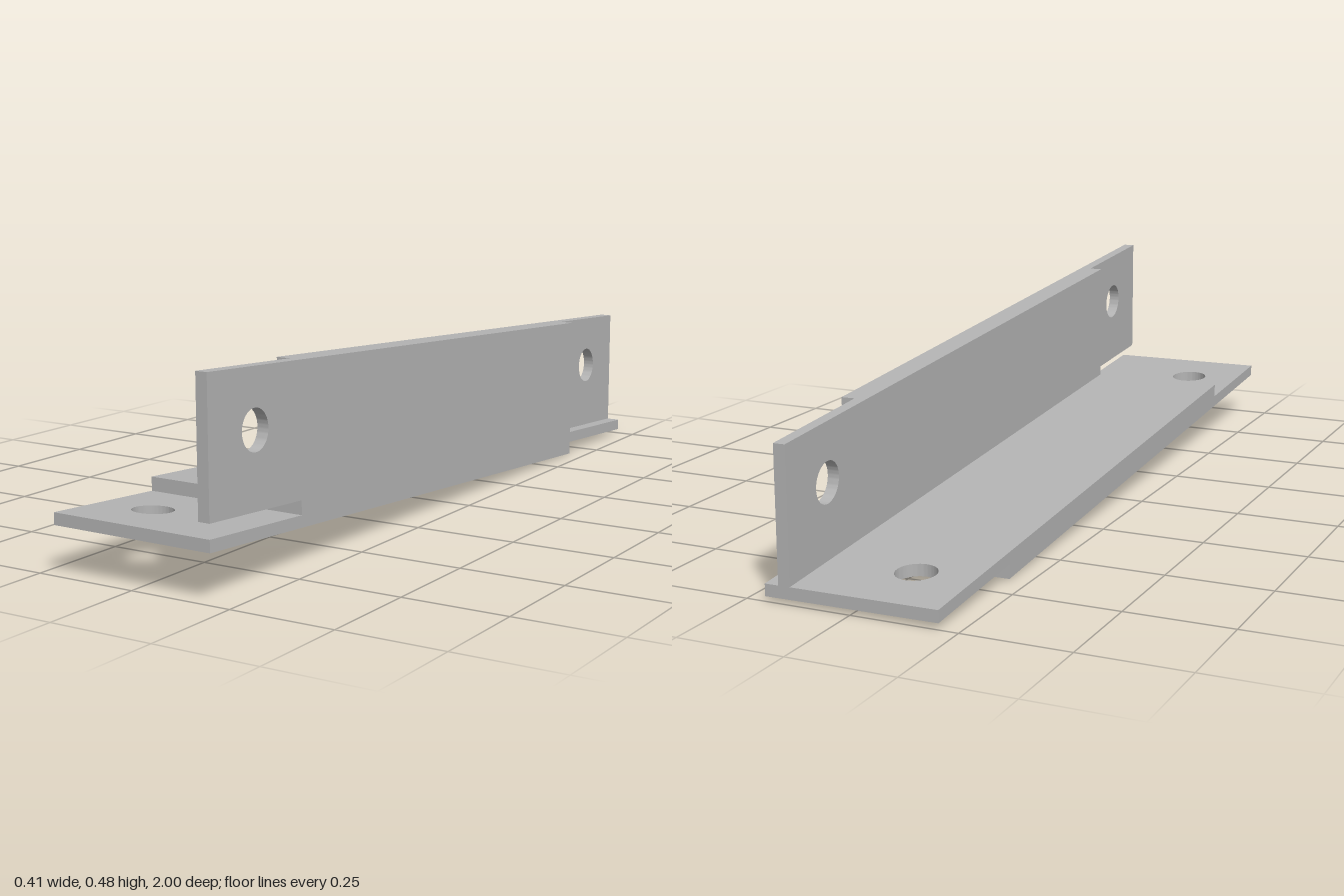
import * as THREE from 'three';
import { toCreasedNormals } from 'three/addons/utils/BufferGeometryUtils.js';

const X0 = -0.205, X1 = 0.204;           // outer width
const WALL = 0.143;                      // inner face of the upright flange
const Y0 = 0.048, FLOOR = 0.109, TOP = 0.416;
const STEP = 0.67, END = 1;              // where the tabs begin and end along z
const TAB = 0.028;                       // tab thickness
const HOLE_R = 0.047, HOLE_Z = 0.838;

// the whole bar slopes down to the back, with a very slight lean sideways
const slope = new THREE.Matrix4().set(
  1, 0, 0, 0,
  -0.007, 1, 0.0655, 0,
  0, 0, 1, 0,
  0, 0, 0, 1
);

export function createModel() {
  const group = new THREE.Group();
  const steel = new THREE.MeshStandardMaterial({ color: 0xb4b4b4 });
  steel.name = 'grey steel';

  function add(name, geometry) {
    geometry.applyMatrix4(slope);
    const mesh = new THREE.Mesh(toCreasedNormals(geometry, 0.6), steel);
    mesh.name = name;
    group.add(mesh);
  }

  // rectangle with one bolt hole, extruded by the tab thickness
  function drilledPlate(a0, a1, b0, b1, ha, hb) {
    const s = new THREE.Shape([[a0, b0], [a1, b0], [a1, b1], [a0, b1]].map(p => new THREE.Vector2(...p)));
    const hole = new THREE.Path();
    hole.absarc(ha, hb, HOLE_R, 0, Math.PI * 2, true);
    s.holes.push(hole);
    return new THREE.ExtrudeGeometry(s, { depth: TAB, bevelEnabled: false, curveSegments: 32 });
  }

  // flat tab: shape drawn in x and -z, extruded upwards from y
  function flatTab(name, y, side) {
    const z = [-side * STEP, -side * END].sort((a, b) => a - b);
    const g = drilledPlate(X0, X1, z[0], z[1], -0.068, -side * HOLE_Z);
    add(name, g.rotateX(-Math.PI / 2).translate(0, y, 0));
  }

  // upright tab: shape drawn in -z and y, extruded sideways from x
  function uprightTab(name, x, side) {
    const z = [-side * STEP, -side * END].sort((a, b) => a - b);
    const g = drilledPlate(z[0], z[1], FLOOR, TOP, -side * HOLE_Z, 0.282);
    add(name, g.rotateY(Math.PI / 2).translate(x, 0, 0));
  }

  // thick L-shaped middle section
  const section = new THREE.Shape([
    [X0, Y0], [X1, Y0], [X1, TOP], [WALL, TOP], [WALL, FLOOR], [X0, FLOOR],
  ].map(p => new THREE.Vector2(...p)));
  add('angleBar', new THREE.ExtrudeGeometry(section, { depth: 2 * STEP, bevelEnabled: false })
    .translate(0, 0, -STEP));

  // half-thickness lap joints: outer half at the front, inner half at the back
  flatTab('frontFlatTab', Y0, 1);
  uprightTab('frontUprightTab', X1 - TAB, 1);
  flatTab('backFlatTab', FLOOR - TAB, -1);
  uprightTab('backUprightTab', WALL, -1);

  return group;
}
